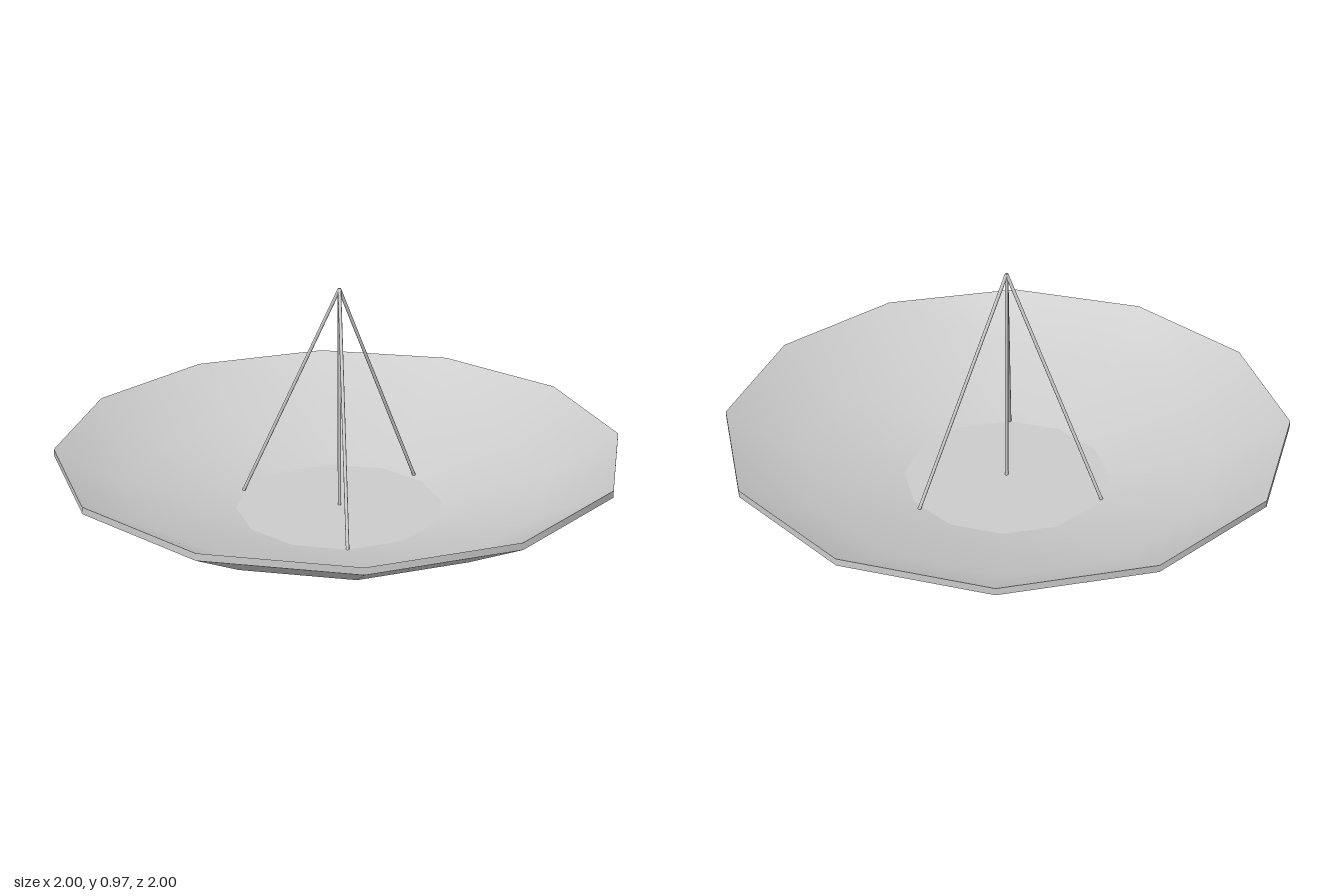
import * as THREE from 'three';

const SIDES = 12;

export function createModel() {
  const model = new THREE.Group();
  const grey = new THREE.MeshStandardMaterial({ color: 0xcccccc });

  const add = (name, geometry, parent = model) => {
    const mesh = new THREE.Mesh(geometry, grey);
    mesh.name = name;
    parent.add(mesh);
    return mesh;
  };
  const lathe = (points) =>
    new THREE.LatheGeometry(points.map(([r, y]) => new THREE.Vector2(r, y)), SIDES);

  // Dish: separate shells keep the rim and floor edges sharp
  const dish = new THREE.Group();
  dish.name = 'dish';
  model.add(dish);
  add('dishUnderside', lathe([[0, 0.14], [0.37, 0.14], [0.74, 0.237], [1, 0.385]]), dish);
  add('dishRim', lathe([[1, 0.385], [1, 0.41]]), dish);
  add('dishInside', lathe([[1, 0.41], [0.74, 0.262], [0.37, 0.165]]), dish);
  add('dishFloor', lathe([[0.37, 0.165], [0, 0.165]]), dish);

  // Pedestal under the dish
  const pedestal = add('pedestal', new THREE.CylinderGeometry(0.098, 0.098, 0.15, 8));
  pedestal.position.y = 0.075;

  // Feed mast and the three struts, all meeting at the apex
  const apex = new THREE.Vector3(0, 0.97, 0);
  const rod = (name, x, z) => {
    const foot = new THREE.Vector3(x, 0.162, z);
    const axis = apex.clone().sub(foot);
    const mesh = add(name, new THREE.CylinderGeometry(0.006, 0.006, axis.length(), 8));
    mesh.position.copy(foot).lerp(apex, 0.5);
    mesh.quaternion.setFromUnitVectors(new THREE.Vector3(0, 1, 0), axis.normalize());
  };
  rod('feedMast', 0, 0);
  rod('frontStrut', 0, 0.373);
  rod('backLeftStrut', 0.3, -0.24);
  rod('backRightStrut', -0.342, -0.152);

  return model;
}
